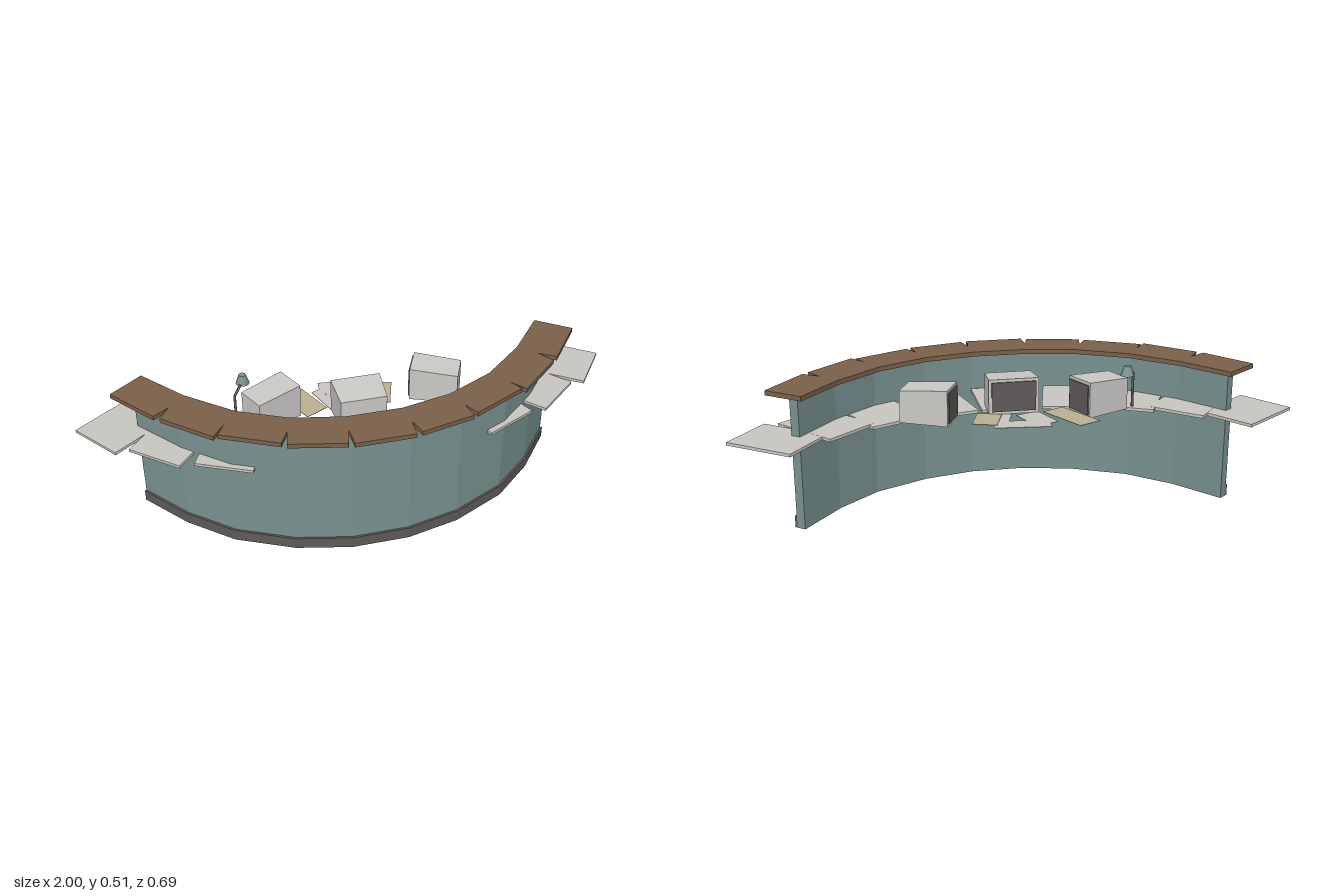
import * as THREE from 'three';

const mat = (name, color) => {
  const m = new THREE.MeshStandardMaterial({ color });
  m.name = name;
  return m;
};

export function createModel() {
  const teal = mat('teal', 0x789290);
  const brown = mat('brown wood', 0x7a604a);
  const pale = mat('pale desk', 0xc8c6bf);
  const casing = mat('casing grey', 0xcbc9c6);
  const dark = mat('dark grey', 0x5e5a59);
  const tan = mat('tan paper', 0xbbb091);

  const model = new THREE.Group();
  model.name = 'receptionDesk';
  const add = (parent, name, geo, material, x = 0, y = 0, z = 0) => {
    const mesh = new THREE.Mesh(geo, material);
    mesh.name = name;
    mesh.position.set(x, y, z);
    parent.add(mesh);
    return mesh;
  };

  // Upright slab from an outline of [x, z] points
  const slab = (pts, y0, y1) => {
    const shape = new THREE.Shape(pts.map(([x, z]) => new THREE.Vector2(x, -z)));
    const geo = new THREE.ExtrudeGeometry(shape, { depth: y1 - y0, bevelEnabled: false });
    return geo.rotateX(-Math.PI / 2).translate(0, y0, 0);
  };
  // Complete a half outline, running outwards from the middle, across x = 0
  const mirror = (half) => [...half.map(([x, z]) => [-x, z]).reverse(), ...half];

  // Polyline moved sideways (positive is outwards), with mitred corners
  const offset = (pts, d) => pts.map((p, i) => {
    const dir = (a, b) => new THREE.Vector2(b[0] - a[0], b[1] - a[1]).normalize();
    const a = dir(pts[Math.max(i - 1, 0)], pts[Math.max(i, 1)]);
    const b = dir(pts[Math.min(i, pts.length - 2)], pts[Math.min(i + 1, pts.length - 1)]);
    const t = a.clone().add(b).normalize();
    const k = d / t.dot(a);
    return [p[0] - t.y * k, p[1] + t.x * k];
  });
  // offset uses z-down axes, so outwards is (-dz, dx)
  const face = mirror([[0.104, 0.286], [0.3, 0.24], [0.5, 0.142], [0.652, 0.006], [0.785, -0.162]]);

  // Curved wall and the skirting around its outside
  add(model, 'wall', slab([...face, ...offset(face, -0.034).reverse()], 0, 0.486), teal);
  add(model, 'skirting', slab([...offset(face, 0.008), ...offset(face, -0.001).reverse()], 0, 0.043), dark);

  // Counter top with a V notch between segments
  const inner = [[0.1, 0.187], [0.285, 0.147], [0.46, 0.06], [0.617, -0.077], [0.747, -0.237]];
  const outer = [
    [0.107, 0.342], [0.128, 0.336], [0.326, 0.29], [0.343, 0.279],
    [0.54, 0.18], [0.555, 0.187], [0.715, 0.04], [0.735, 0.022], [0.865, -0.147],
  ];
  const edge = [];
  outer.forEach((p, i) => {
    edge.push(p);
    if (i % 2 === 0 && i < 8) {
      const n = outer[i + 1], a = inner[i / 2];
      edge.push([0, 1].map((k) => a[k] + 0.55 * ((p[k] + n[k]) / 2 - a[k])));
    }
  });
  add(model, 'counterTop', slab([...mirror(edge), ...mirror(inner).reverse()], 0.485, 0.502), brown);

  // Work surface: separate boards fanned around the arc
  const board = (x, z, yaw, y) =>
    { add(model, 'deskBoard', new THREE.BoxGeometry(0.21, 0.011, 0.26), pale, x, y, z).rotation.y = yaw; };
  board(0, 0.115, 0, 0.336);
  for (const s of [-1, 1]) {
    board(s * 0.248, 0.09, s * 0.227, 0.3362);
    board(s * 0.468, 0.037, s * 0.454, 0.3358);
    board(s * 0.665, -0.057, s * 0.72, 0.3363);
    board(s * 0.835, -0.182, s * 0.935, 0.336);
  }

  // Box monitors; the screen is a thin plate on the viewing side
  const monitor = (x, z, yaw, w, d) => {
    const g = new THREE.Group();
    g.name = 'monitor';
    g.position.set(x, 0.342, z);
    g.rotation.y = yaw;
    const body = new THREE.BoxGeometry(w, 0.13, d);
    const p = body.attributes.position;
    for (let i = 0; i < p.count; i++) {
      // slight taper towards the rear
      if (p.getZ(i) > 0) p.setXY(i, p.getX(i) * 0.93, p.getY(i) * 0.9 - 0.006);
    }
    body.computeVertexNormals();
    add(g, 'monitorCase', body, casing, 0, 0.066, 0);
    add(g, 'screen', new THREE.BoxGeometry(w * 0.88, 0.108, 0.006), dark, 0, 0.066, -d / 2 - 0.002);
    model.add(g);
  };
  monitor(0, -0.014, 0, 0.182, 0.13);
  monitor(-0.308, -0.09, -1.14, 0.118, 0.176);
  monitor(0.308, -0.09, 1.14, 0.118, 0.176);

  // Loose papers
  const paper = (x, y, z, w, d, yaw, tilt, m) => {
    const sheet = add(model, 'paper', new THREE.BoxGeometry(w, 0.002, d), m, x, y, z);
    sheet.rotation.set(tilt, yaw, 0, 'YXZ');
  };
  paper(-0.19, 0.35, -0.165, 0.09, 0.21, 0.45, 0.03, tan);
  paper(0.107, 0.348, -0.138, 0.088, 0.125, -0.31, 0.02, tan);
  paper(-0.005, 0.346, -0.205, 0.2, 0.075, -0.1, 0.02, pale);
  paper(-0.07, 0.344, -0.15, 0.09, 0.14, 0.35, 0.02, pale);
  paper(0.06, 0.344, -0.125, 0.075, 0.1, -0.3, 0.02, pale);

  // Desk lamp
  const lamp = new THREE.Group();
  lamp.name = 'lamp';
  add(lamp, 'lampShade', new THREE.CylinderGeometry(0.013, 0.025, 0.035, 12), teal, -0.4, 0.497, -0.133);
  const arm = new THREE.CurvePath();
  const pts = [[-0.44, 0.34, -0.07], [-0.44, 0.472, -0.07], [-0.4, 0.488, -0.133]].map((p) => new THREE.Vector3(...p));
  arm.add(new THREE.LineCurve3(pts[0], pts[1]));
  arm.add(new THREE.LineCurve3(pts[1], pts[2]));
  add(lamp, 'lampArm', new THREE.TubeGeometry(arm, 16, 0.005, 6), dark);
  model.add(lamp);

  return model;
}
